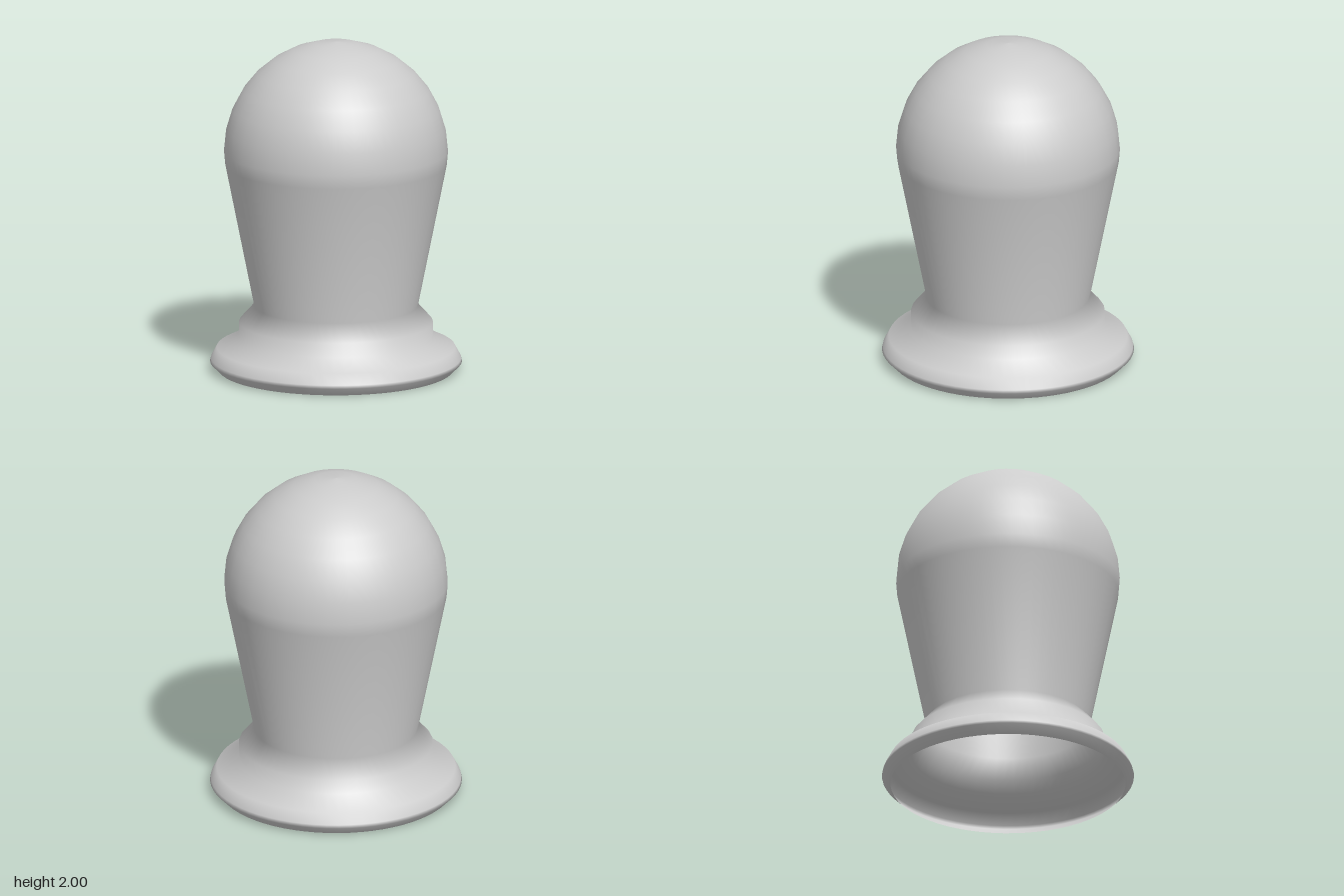
import * as THREE from 'three';

const SIDES = 64;

// Flared rim, collar and tapered neck as [radius, height], bottom to top
const lower = [
  [0.7, 0], [0.75, 0.05], [0.745, 0.07], [0.71, 0.135], [0.578, 0.2],
  [0.578, 0.29], [0.488, 0.39], [0.66, 1.25],
];

export function createModel() {
  const group = new THREE.Group();
  const profile = lower.map(([r, y]) => new THREE.Vector2(r, y));

  // Domed head: a half sphere continuing from the neck
  const R = 0.667, centre = 2 - R;
  for (let i = 0; i <= 8; i++) {
    const a = (i / 8) * Math.PI / 2;
    profile.push(new THREE.Vector2(i === 8 ? 0 : R * Math.cos(a), centre + R * Math.sin(a)));
  }
  const geometry = new THREE.LatheGeometry(profile, SIDES);

  // Above the rim, every second column sits on its neighbours' chord (half as many sides)
  const pos = geometry.attributes.position;
  const chord = Math.cos((2 * Math.PI) / SIDES);
  for (let i = 0; i < pos.count; i++) {
    const column = Math.floor(i / profile.length);
    if (column % 2 === 1 && pos.getY(i) > 0.15) {
      pos.setX(i, pos.getX(i) * chord);
      pos.setZ(i, pos.getZ(i) * chord);
    }
  }

  // Thin shell, open underneath
  const material = new THREE.MeshStandardMaterial({ color: 0xcccccc, side: THREE.DoubleSide });
  const shell = new THREE.Mesh(geometry, material);
  shell.name = 'domedKnobShell';
  group.add(shell);
  return group;
}
